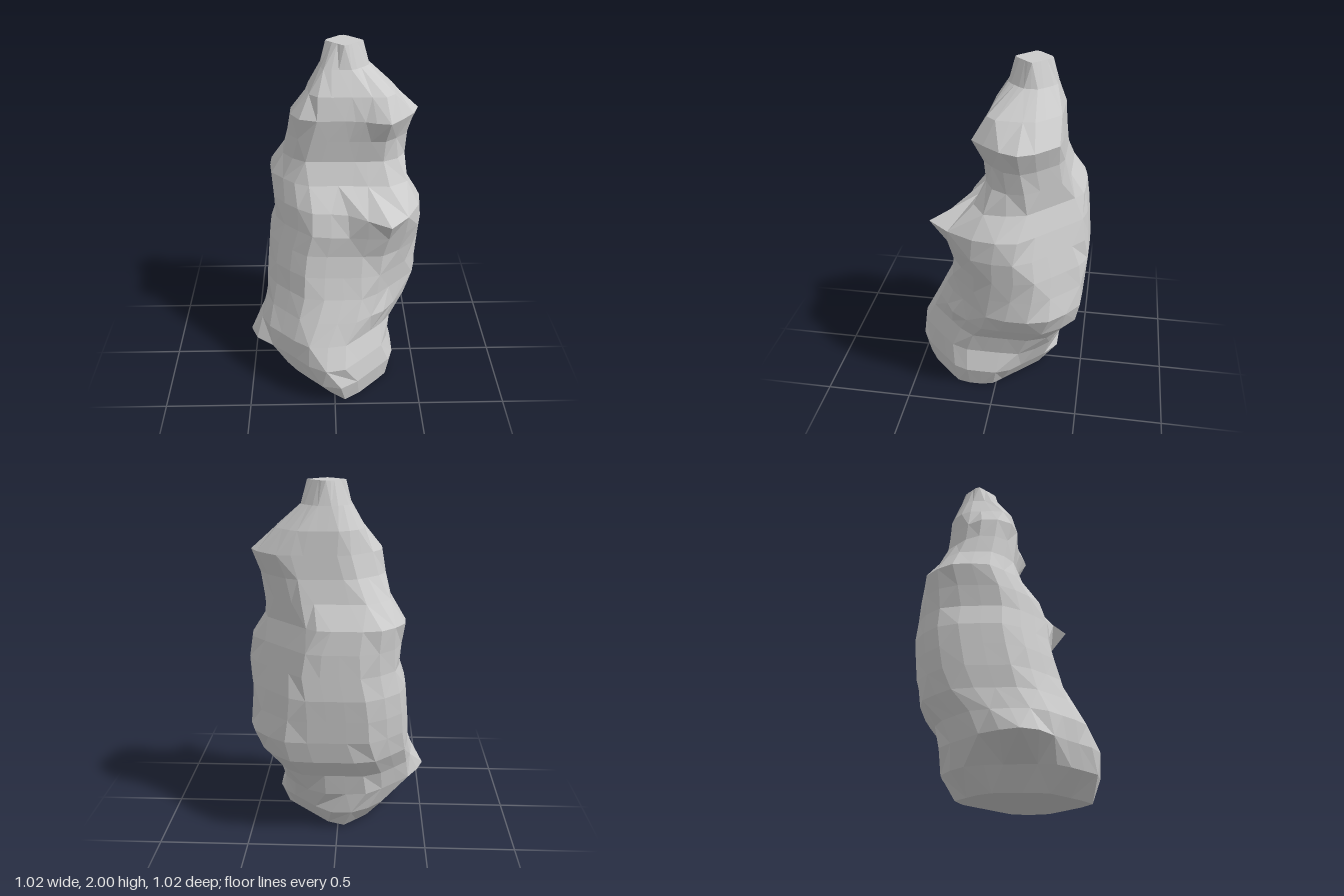
import * as THREE from 'three';

const SIDES = 24;
const STEP = 0.125;
const SHARPNESS = 26;

// One row per level, bottom to top: how far the body reaches from the axis toward
// +x, +x+z, +z, -x+z, -x, -x-z, -z, +x-z
const LEVELS = [
  [0.33, 0.39, 0.47, 0.30, 0.21, 0.22, 0.30, 0.21],
  [0.36, 0.41, 0.51, 0.40, 0.29, 0.33, 0.35, 0.29],
  [0.32, 0.39, 0.51, 0.43, 0.42, 0.38, 0.36, 0.34],
  [0.34, 0.35, 0.44, 0.43, 0.42, 0.41, 0.38, 0.42],
  [0.43, 0.36, 0.38, 0.38, 0.40, 0.47, 0.47, 0.52],
  [0.50, 0.36, 0.32, 0.34, 0.40, 0.49, 0.49, 0.56],
  [0.49, 0.37, 0.28, 0.32, 0.39, 0.50, 0.50, 0.53],
  [0.50, 0.39, 0.25, 0.29, 0.38, 0.50, 0.51, 0.51],
  [0.51, 0.42, 0.25, 0.26, 0.34, 0.48, 0.50, 0.48],
  [0.50, 0.41, 0.20, 0.24, 0.35, 0.48, 0.49, 0.45],
  [0.42, 0.36, 0.10, 0.20, 0.37, 0.49, 0.47, 0.41],
  [0.41, 0.26, 0.05, 0.16, 0.29, 0.40, 0.39, 0.42],
  [0.43, 0.25, 0.06, 0.15, 0.26, 0.32, 0.36, 0.43],
  [0.48, 0.28, 0.07, 0.16, 0.24, 0.29, 0.35, 0.47],
  [0.34, 0.24, 0.04, 0.09, 0.14, 0.27, 0.34, 0.39],
  [0.20, 0.05, -0.04, 0.00, 0.07, 0.21, 0.30, 0.29],
  [0.17, 0.00, -0.07, -0.09, 0.05, 0.16, 0.27, 0.24],
];

// Lumps: the tip each one reaches, and how widely the skin around it follows
const LUMPS = [
  { tip: new THREE.Vector3(0.31, 1.125, 0.365), spread: 0.13 },
  { tip: new THREE.Vector3(-0.51, 0.25, 0.08), spread: 0.14 },
  { tip: new THREE.Vector3(0.31, 1.625, 0.12), spread: 0.12 },
  { tip: new THREE.Vector3(0.29, 0.5, 0.26), spread: 0.09 },
];

// Rounded outline that touches the eight reaches of a level
function ring(reach, y) {
  const cx = (reach[0] - reach[4]) / 2;
  const cz = (reach[2] - reach[6]) / 2;
  const points = [];
  for (let j = 0; j < SIDES; j++) {
    const angle = (j / SIDES) * Math.PI * 2;
    let sum = 0;
    reach.forEach((r, k) => {
      const dir = (k * Math.PI) / 4;
      const local = Math.max(r - cx * Math.cos(dir) - cz * Math.sin(dir), 0.03);
      sum += Math.pow(Math.max(Math.cos(angle - dir), 0) / local, SHARPNESS);
    });
    const radius = Math.pow(sum, -1 / SHARPNESS);
    points.push(new THREE.Vector3(cx + radius * Math.cos(angle), y, cz + radius * Math.sin(angle)));
  }
  return { points, center: new THREE.Vector3(cx, y, cz) };
}

// Move the nearest point of the level to the tip; its neighbours follow in a soft falloff
function pullLump(vertices, { tip, spread }) {
  const level = vertices.filter((v) => Math.abs(v.y - tip.y) < STEP / 2);
  const nearest = level.reduce((a, b) => (a.distanceTo(tip) < b.distanceTo(tip) ? a : b)).clone();
  const shift = tip.clone().sub(nearest);
  for (const v of vertices) {
    const distance = Math.hypot(v.x - nearest.x, 1.4 * (v.y - nearest.y), v.z - nearest.z);
    v.addScaledVector(shift, Math.exp(-((distance / spread) ** 2)));
  }
}

function bodyGeometry() {
  const rings = LEVELS.map((reach, i) => ring(reach, i * STEP));
  const vertices = rings.flatMap((r) => r.points);
  LUMPS.forEach((lump) => pullLump(vertices, lump));

  // Skin between levels, with alternating diagonals
  const index = [];
  const last = LEVELS.length - 1;
  for (let i = 0; i < last; i++) {
    for (let j = 0; j < SIDES; j++) {
      const k = (j + 1) % SIDES;
      const a = i * SIDES + j;
      const b = a + SIDES;
      const c = i * SIDES + k;
      const d = c + SIDES;
      if ((i + j) % 2) index.push(a, b, c, b, d, c);
      else index.push(a, b, d, a, d, c);
    }
  }

  // Flat base and top
  const base = vertices.push(rings[0].center) - 1;
  const top = vertices.push(rings[last].center) - 1;
  for (let j = 0; j < SIDES; j++) {
    const k = (j + 1) % SIDES;
    index.push(base, j, k);
    index.push(top, last * SIDES + k, last * SIDES + j);
  }

  const geometry = new THREE.BufferGeometry().setFromPoints(vertices);
  geometry.setIndex(index);
  geometry.computeVertexNormals();
  return geometry;
}

export function createModel() {
  const model = new THREE.Group();
  model.name = 'lumpyRock';
  const body = new THREE.Mesh(
    bodyGeometry(),
    new THREE.MeshStandardMaterial({ color: 0xcccccc, flatShading: true })
  );
  body.name = 'rockBody';
  model.add(body);
  return model;
}
